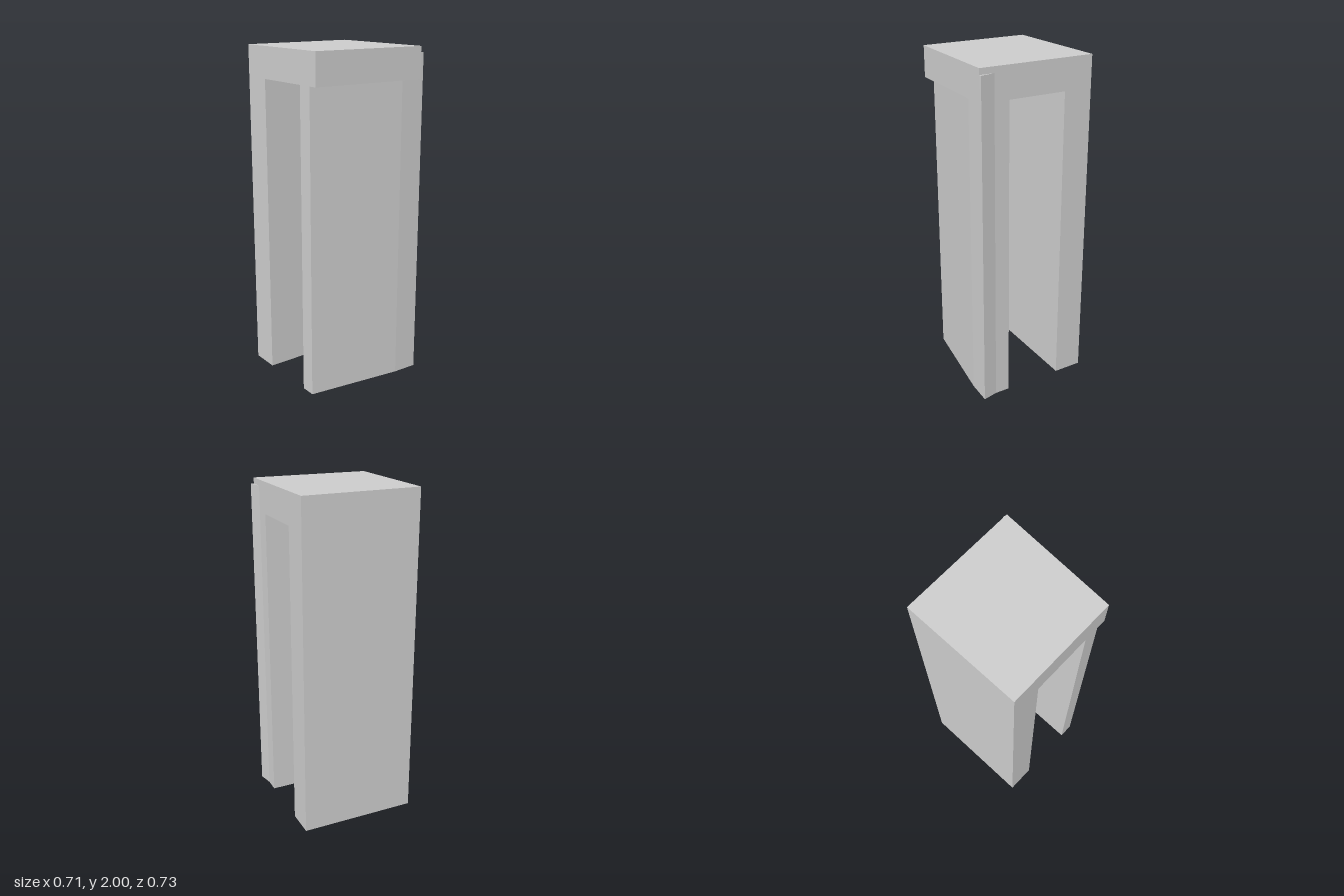
import * as THREE from 'three';

const material = new THREE.MeshStandardMaterial({ color: 0xcccccc, flatShading: true });

// Upright prism from a plan outline of [x, z] corners, between two heights
function prism(name, plan, y0, y1) {
  const shape = new THREE.Shape(plan.map(([x, z]) => new THREE.Vector2(x, -z)));
  const geometry = new THREE.ExtrudeGeometry(shape, { depth: y1 - y0, bevelEnabled: false });
  geometry.rotateX(-Math.PI / 2).translate(0, y0, 0);
  const mesh = new THREE.Mesh(geometry, material);
  mesh.name = name;
  return mesh;
}

export function createModel() {
  const front = 0.363, back = -0.345, lip = -0.364;
  const outer = 0.354, under = 1.815;
  const group = new THREE.Group();
  group.name = 'archway';

  // Lintel with a slightly slanted side
  group.add(prism('lintel', [
    [-outer, front], [0.321, front], [outer, back], [-outer, back],
  ], under, 2));

  // Straight pillar
  group.add(prism('rightPillar', [
    [-outer, front], [-0.179, front], [-0.179, back], [-outer, back],
  ], 0, under));

  // Tapering pillar, widening towards its flared back corner
  group.add(prism('leftPillar', [
    [0.175, front], [0.265, front], [0.348, -0.215], [outer, lip], [0.265, back], [0.175, back],
  ], 0, under));

  // Flared corner continuing up behind the lintel
  group.add(prism('backCornerFlare', [
    [0.265, back], [outer, back], [outer, lip],
  ], under, 1.965));

  return group;
}
